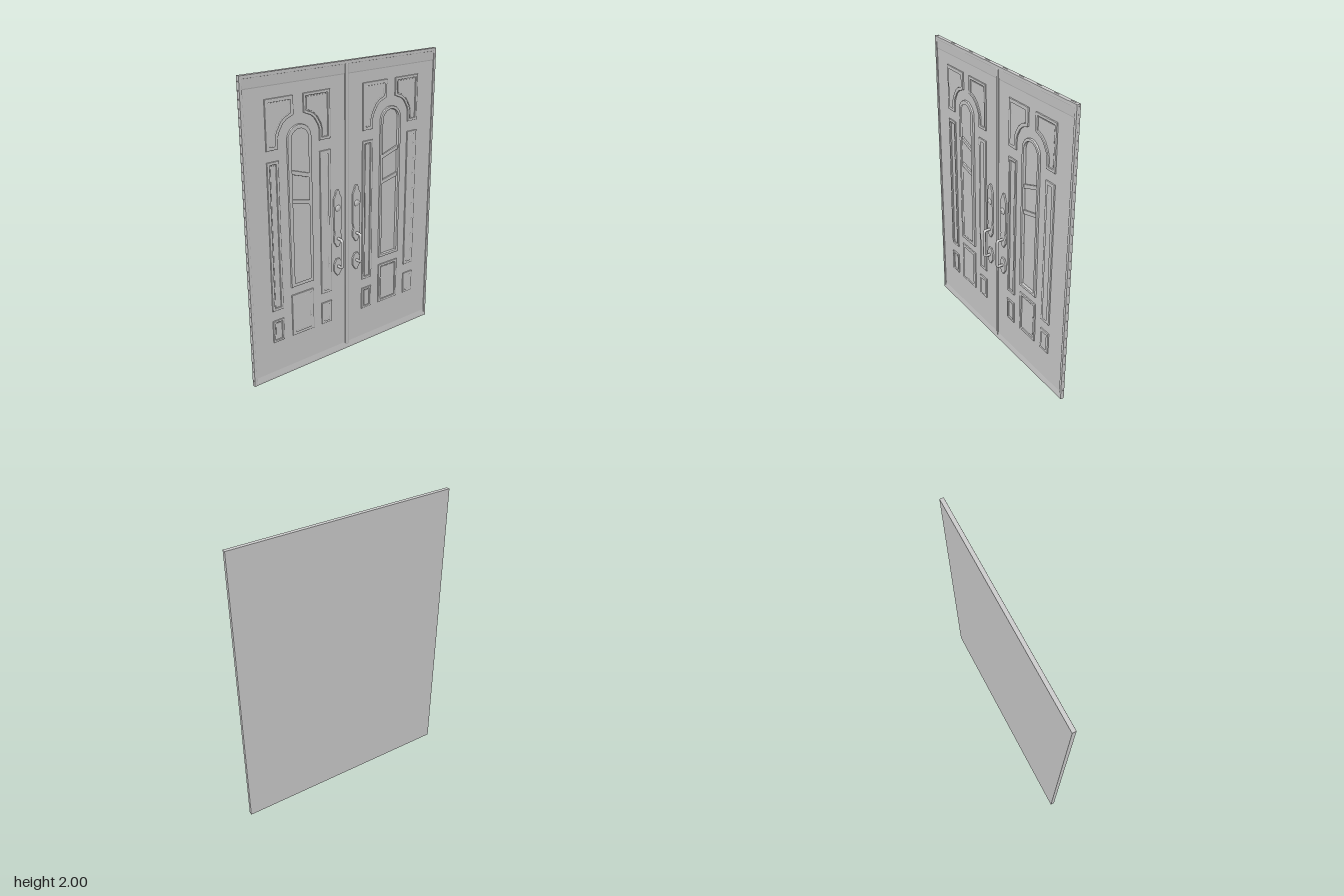
import * as THREE from 'three';

const mat = new THREE.MeshStandardMaterial({ color: 0xcccccc, roughness: 0.7 });
const FACE = -0.021;   // front of the door leaves
const BACK = -0.041;   // back of the slab

function add(parent, name, geometry, x = 0, y = 0, z = 0) {
  const mesh = new THREE.Mesh(geometry, mat);
  mesh.name = name;
  mesh.position.set(x, y, z);
  parent.add(mesh);
  return mesh;
}

const rect = (x0, y0, x1, y1) => [[x0, y0], [x1, y0], [x1, y1], [x0, y1]];
const toShape = pts => new THREE.Shape(pts.map(p => new THREE.Vector2(p[0], p[1])));
const mirror = (pts, about = 0) => pts.map(([x, y]) => [2 * about - x, y]);

// Moves every edge of an outline inwards by d
function inset(pts, d) {
  const v = pts.map(p => new THREE.Vector2(p[0], p[1]));
  const side = THREE.ShapeUtils.area(v) > 0 ? 1 : -1;
  const n = v.length;
  const normal = (a, b) => {
    const e = b.clone().sub(a).normalize();
    return new THREE.Vector2(-e.y * side, e.x * side);
  };
  return v.map((p, i) => {
    const n0 = normal(v[(i + n - 1) % n], p), n1 = normal(p, v[(i + 1) % n]);
    const m = n0.clone().add(n1);
    m.multiplyScalar(d / (1 + n0.dot(n1)));
    return [p.x + m.x, p.y + m.y];
  });
}

// Extrusion between two depths, with an optional bevelled front
function slab(pts, z0, z1, hole, bevel = 0) {
  const shape = toShape(pts);
  if (hole) shape.holes.push(toShape(hole));
  return new THREE.ExtrudeGeometry(shape, {
    depth: z1 - z0 - 2 * bevel, bevelEnabled: bevel > 0, bevelSize: bevel,
    bevelThickness: bevel, bevelOffset: -bevel, bevelSegments: 2,
  }).translate(0, 0, z0 + bevel);
}

// Raised moulding ring around a slightly raised field
function panel(parent, name, pts, width = 0.018) {
  const group = new THREE.Group();
  group.name = name;
  add(group, 'moulding', slab(pts, FACE - 0.004, -0.012, inset(pts, width), 0.004));
  add(group, 'field', slab(inset(pts, width + 0.006), FACE - 0.004, FACE + 0.003, null, 0.002));
  parent.add(group);
}

// Door outlines for the +x leaf
const MID = 0.364;
const corner = [[0.13, 1.846], [0.13, 1.54], [0.213, 1.54], [0.213, 1.61], [0.222, 1.64],
  [0.25, 1.687], [0.275, 1.708], [0.328, 1.73], [0.328, 1.846]].reverse();
const arch = [[MID - 0.087, 0.615], [MID + 0.087, 0.615]];
for (let i = 0; i <= 12; i++) {
  const a = Math.PI * i / 12;
  arch.push([MID + 0.087 * Math.cos(a), 1.581 + 0.087 * Math.sin(a)]);
}

function createLeaf(s) {
  const leaf = new THREE.Group();
  leaf.name = s > 0 ? 'leftDoor' : 'rightDoor';
  const put = pts => s > 0 ? pts : mirror(pts);
  const opening = inset(arch, 0.02);

  add(leaf, 'leaf', slab(put(rect(0, 0.0, 0.74, 1.985)), -0.031, FACE, put(opening)));

  // Panels, symmetric about the middle of the leaf
  for (const side of [0, 1]) {
    const place = pts => put(side ? mirror(pts, MID) : pts);
    panel(leaf, 'cornerPanel', place(corner));
    panel(leaf, 'tallPanel', place(rect(0.13, 0.49, 0.213, 1.47)));
    panel(leaf, 'smallPanel', place(rect(0.13, 0.265, 0.213, 0.42)), 0.015);
  }
  panel(leaf, 'lowerPanel', put(rect(MID - 0.085, 0.265, MID + 0.085, 0.557)));

  // Arched window with two slanting bars
  add(leaf, 'windowFrame', slab(put(arch), FACE - 0.006, -0.008, put(opening), 0.005));
  add(leaf, 'glass', slab(put(inset(arch, 0.015)), -0.032, -0.027));
  for (const [y, rise] of [[1.363, 0.028], [1.18, 0.02]]) {
    const bar = [[MID - 0.068, y - rise - 0.014], [MID + 0.068, y + rise * 0.6 - 0.014],
      [MID + 0.068, y + rise * 0.6 + 0.014], [MID - 0.068, y - rise + 0.014]];
    add(leaf, 'windowBar', slab(put(bar), -0.028, -0.015, null, 0.004));
  }

  leaf.add(createHandle(0.078 * s));
  return leaf;
}

function createHandle(x) {
  const handle = new THREE.Group();
  handle.name = 'handle';
  handle.position.x = x;
  const symmetric = half => [...half, ...mirror(half).reverse()];

  // Upper plate and foot plate
  const upper = symmetric([[0.007, 0.795], [0.03, 0.832], [0.032, 0.87], [0.024, 0.895],
    [0.031, 0.93], [0.031, 1.135], [0.018, 1.16], [0.014, 1.178], [0.006, 1.19]]);
  const foot = symmetric([[0.008, 0.59], [0.033, 0.628], [0.033, 0.672], [0.014, 0.71]]);
  add(handle, 'backPlate', slab(upper, FACE - 0.004, -0.01, null, 0.004));
  add(handle, 'footPlate', slab(foot, FACE - 0.004, -0.01, null, 0.004));

  // Flattened knob
  const knob = add(handle, 'knob', new THREE.SphereGeometry(0.022, 20, 12), 0, 1.066, -0.011);
  knob.scale.z = 0.4;

  // Bow-shaped grip
  const path = new THREE.CurvePath();
  const v = (y, z) => new THREE.Vector3(0, y, z);
  path.add(new THREE.LineCurve3(v(0.855, -0.018), v(0.855, 0.018)));
  path.add(new THREE.QuadraticBezierCurve3(v(0.855, 0.018), v(0.855, 0.032), v(0.838, 0.032)));
  path.add(new THREE.LineCurve3(v(0.838, 0.032), v(0.675, 0.032)));
  path.add(new THREE.QuadraticBezierCurve3(v(0.675, 0.032), v(0.657, 0.032), v(0.657, 0.018)));
  path.add(new THREE.LineCurve3(v(0.657, 0.018), v(0.657, -0.018)));
  add(handle, 'grip', new THREE.TubeGeometry(path, 60, 0.0095, 10));
  return handle;
}

export function createModel() {
  const model = new THREE.Group();
  model.name = 'doubleDoor';

  // Back slab and surrounding frame
  add(model, 'backSlab', slab(rect(-0.756, 0, 0.756, 2), BACK, -0.03));
  const outer = [[-0.756, 0], [-0.756, 2], [0.756, 2], [0.756, 0], [0.737, 0], [0.737, 1.98],
    [-0.737, 1.98], [-0.737, 0]];
  add(model, 'frame', slab(outer, -0.031, -0.015, null, 0.002));
  add(model, 'centrePost', slab(rect(-0.013, 0.03, 0.013, 1.982), -0.031, -0.015, null, 0.004));

  // Sloping header and sill, profiles drawn in depth and height
  const strip = (name, profile) => {
    const geometry = new THREE.ExtrudeGeometry(toShape(profile), { depth: 1.476, bevelEnabled: false });
    add(model, name, geometry.rotateY(-Math.PI / 2), 0.738);
  };
  strip('header', [[-0.03, 1.918], [FACE, 1.918], [FACE + 0.0015, 1.924], [-0.017, 1.982], [-0.03, 1.982]]);
  strip('sill', [[-0.03, 0], [-0.017, 0], [-0.017, 0.012], [FACE, 0.05], [-0.03, 0.05]]);

  model.add(createLeaf(1), createLeaf(-1));
  return model;
}
